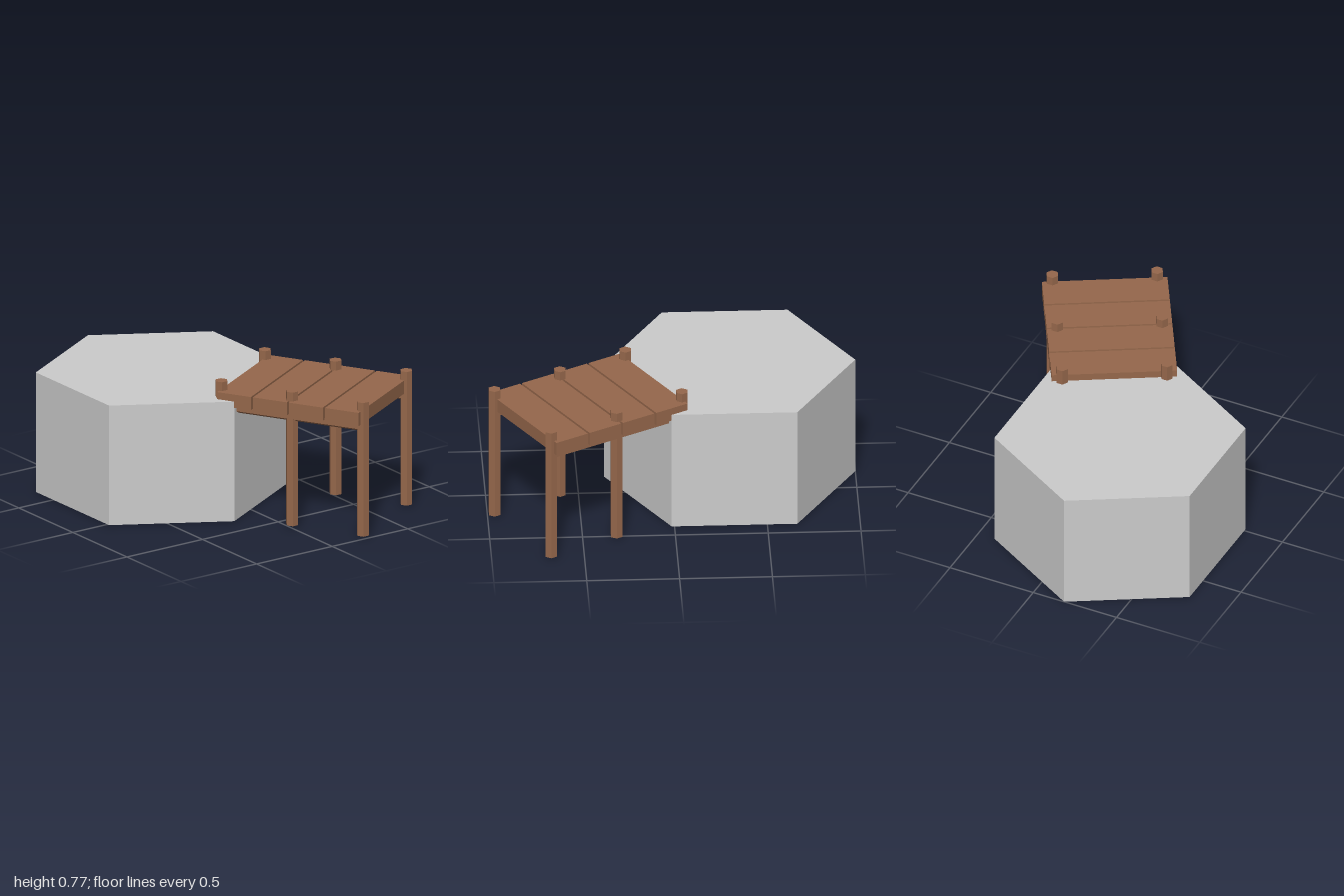
import * as THREE from 'three';

const wood = new THREE.MeshStandardMaterial({ color: 0x95674b, flatShading: true });
const ground = new THREE.MeshStandardMaterial({ color: 0xcccccc, flatShading: true });

function addMesh(parent, name, geometry, material, x, y, z) {
  const mesh = new THREE.Mesh(geometry, material);
  mesh.name = name;
  mesh.position.set(x, y, z);
  parent.add(mesh);
  return mesh;
}

export function createModel() {
  const model = new THREE.Group();
  model.name = 'hexTileWithDock';

  // Hexagonal land tile
  addMesh(model, 'hexTile', new THREE.CylinderGeometry(0.677, 0.677, 0.68, 6), ground, -0.185, 0.34, -0.323);

  // Dock, square to one side of the tile
  const dock = new THREE.Group();
  dock.name = 'dock';
  dock.position.set(0.266, 0, 0.459);
  dock.rotation.y = Math.PI / 6;
  model.add(dock);

  const postX = 0.2825, postZ = 0.4175, radius = 0.035;

  // Deck planks with narrow gaps
  const plank = new THREE.BoxGeometry(0.677, 0.075, 0.2);
  for (let i = 0; i < 4; i++) {
    addMesh(dock, 'plank', plank, wood, 0, 0.6825, (i - 1.5) * 0.2125);
  }

  const post = new THREE.CylinderGeometry(radius, radius, 0.76, 6);
  const beam = new THREE.CylinderGeometry(radius, radius, 2 * postZ, 6).rotateX(Math.PI / 2);
  for (const side of [-1, 1]) {
    // Six-sided posts standing through the deck
    for (const row of [-1, 0, 1]) {
      addMesh(dock, 'post', post, wood, side * postX, 0.39, row * postZ);
    }
    // Six-sided beam under the planks, joining the posts
    addMesh(dock, 'beam', beam, wood, side * postX, 0.635, 0);
  }

  return model;
}
